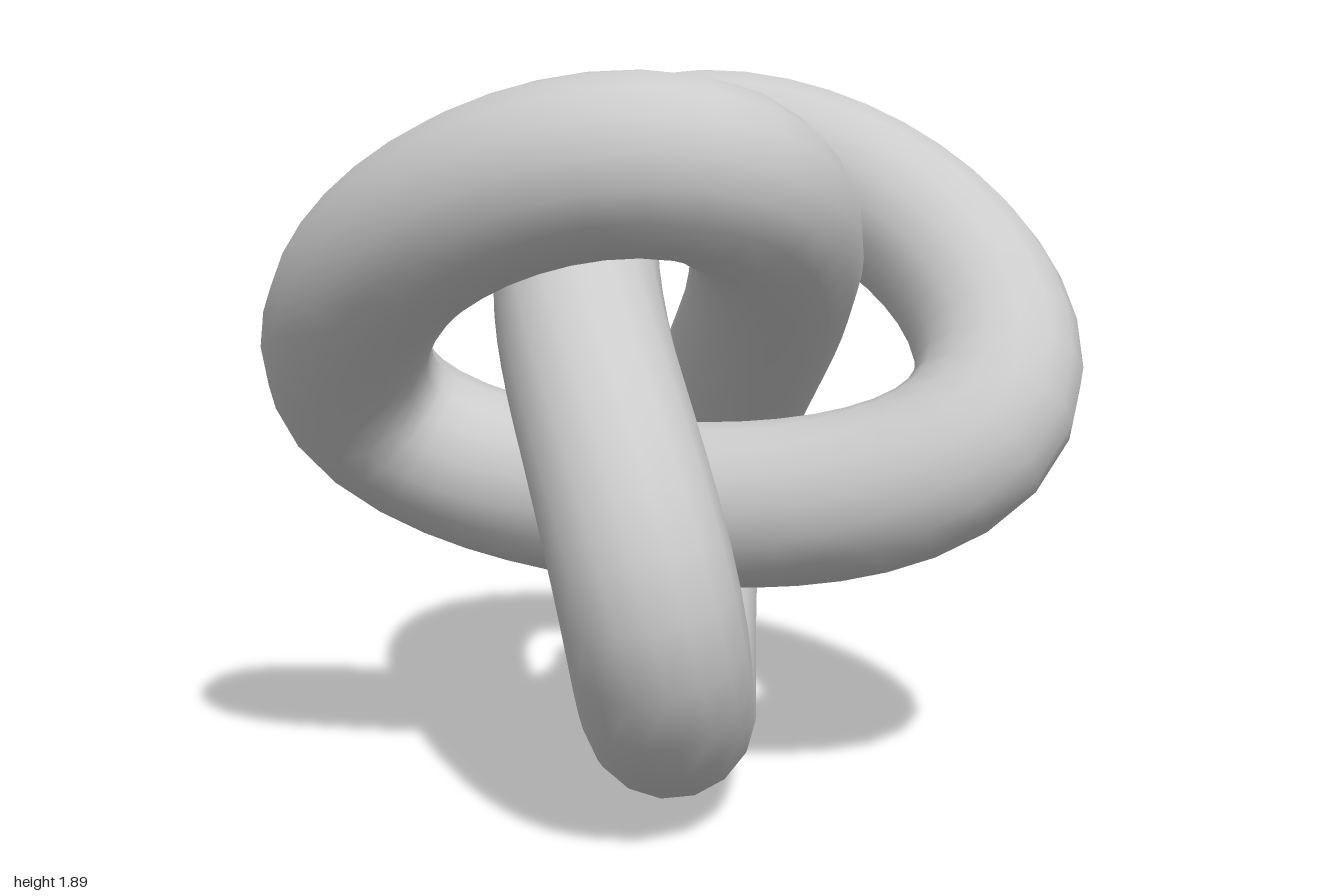
import * as THREE from 'three';

// Closed three-lobed knot: one lobe points straight down, lobes weave in z
class TrefoilCurve extends THREE.Curve {
  getPoint(u, target = new THREE.Vector3()) {
    const t = u * Math.PI * 2;
    const a = 0.266, b = 0.585, depth = 0.51;
    return target.set(
      a * Math.sin(t) + b * Math.sin(2 * t),
      a * Math.cos(t) - b * Math.cos(2 * t),
      depth * (Math.sin(3 * t) + 0.07 * Math.sin(6 * t))
    );
  }
}

export function createModel() {
  const model = new THREE.Group();
  model.name = 'trefoilKnot';

  // Round tube swept along the knot
  const tubeRadius = 0.22;
  const geometry = new THREE.TubeGeometry(new TrefoilCurve(), 96, tubeRadius, 16, true);
  geometry.computeBoundingBox();
  geometry.translate(0, -geometry.boundingBox.min.y, 0);

  const tube = new THREE.Mesh(geometry, new THREE.MeshStandardMaterial({ color: 0xcccccc }));
  tube.name = 'knotTube';
  model.add(tube);
  return model;
}
